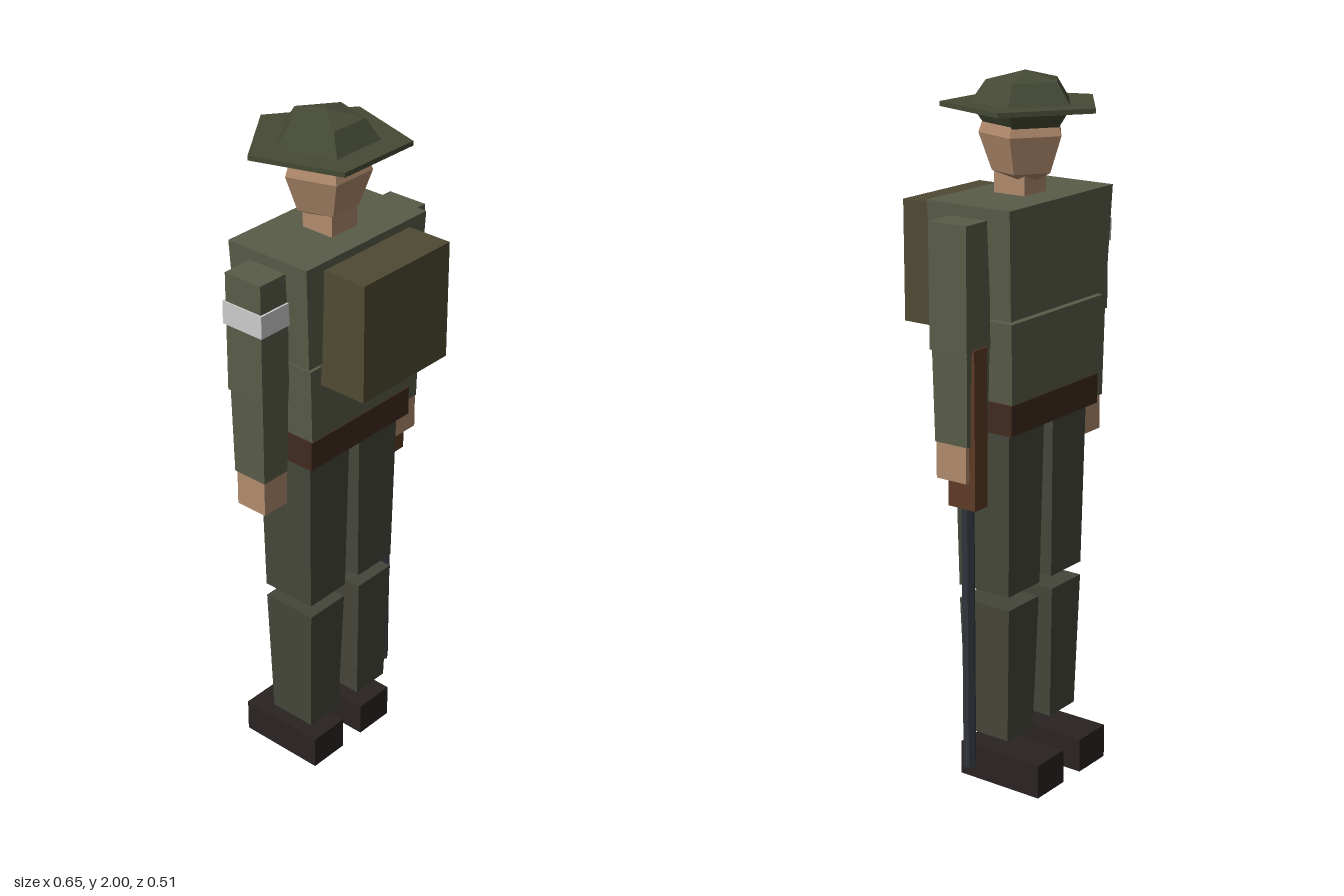
import * as THREE from 'three';

const COLORS = {
  jacket: 0x5a5c48, trousers: 0x45463a, pack: 0x4f4a33, belt: 0x40291f, skin: 0xb08a6c,
  hat: 0x454a35, wood: 0x5c3a24, steel: 0x2f333a, boot: 0x292422, band: 0xbcbcbc,
};
const materials = {};
for (const key in COLORS) {
  materials[key] = new THREE.MeshStandardMaterial({ color: COLORS[key], flatShading: true });
}

// Box between two heights; bottom and top are [x0, x1, z0, z1] rectangles
function block(name, mat, y0, y1, bottom, top = bottom) {
  const geo = new THREE.BoxGeometry(1, 1, 1);
  const p = geo.attributes.position;
  for (let i = 0; i < p.count; i++) {
    const upper = p.getY(i) > 0;
    const r = upper ? top : bottom;
    p.setXYZ(i, p.getX(i) > 0 ? r[1] : r[0], upper ? y1 : y0, p.getZ(i) > 0 ? r[3] : r[2]);
  }
  geo.computeVertexNormals();
  const mesh = new THREE.Mesh(geo, materials[mat]);
  mesh.name = name;
  return mesh;
}

// Five-sided squashed ball with one corner pointing to -z
function ball(name, mat, r, ry, y, z) {
  const geo = new THREE.SphereGeometry(r, 5, 4);
  geo.rotateY(-Math.PI / 2).scale(1, ry / r, 1).translate(0.002, y, z);
  const mesh = new THREE.Mesh(geo, materials[mat]);
  mesh.name = name;
  return mesh;
}

// Swap a rectangle to the other side of x = 0
const flip = ([x0, x1, z0, z1], s) => (s > 0 ? [x0, x1, z0, z1] : [-x1, -x0, z0, z1]);

export function createModel() {
  const model = new THREE.Group();
  model.name = 'soldier';

  for (const s of [1, -1]) {
    const side = s > 0 ? 'left' : 'right';
    const limb = (name, mat, y0, y1, bottom, top = bottom) =>
      model.add(block(side + name, mat, y0, y1, flip(bottom, s), flip(top, s)));

    // Leg
    limb('Boot', 'boot', 0, 0.1, [0.04, 0.165, -0.195, 0.075]);
    limb('Shin', 'trousers', 0.145, 0.545, [0.042, 0.163, -0.088, 0.058], [0.032, 0.172, -0.1, 0.07]);
    limb('Thigh', 'trousers', 0.585, 1.06, [0.028, 0.173, -0.1, 0.07], [0.021, 0.18, -0.108, 0.077]);

    // Arm
    limb('UpperArm', 'jacket', 1.3, 1.642, [0.224, 0.325, -0.079, 0.044]);
    limb('Forearm', 'jacket', 1.047, 1.3, [0.226, 0.316, -0.071, 0.036], [0.222, 0.32, -0.075, 0.04]);
    limb('Hand', 'skin', 0.945, 1.047, [0.226, 0.314, -0.065, 0.034]);
  }

  // Torso
  model.add(
    block('belt', 'belt', 1.06, 1.145, [-0.2, 0.204, -0.133, 0.1]),
    block('waist', 'jacket', 1.145, 1.37, [-0.193, 0.197, -0.13, 0.097], [-0.21, 0.214, -0.141, 0.108]),
    block('chest', 'jacket', 1.38, 1.675, [-0.218, 0.222, -0.145, 0.11], [-0.234, 0.238, -0.153, 0.118]),
    block('backpack', 'pack', 1.315, 1.652, [-0.167, 0.171, 0.1, 0.252]),
    block('armband', 'band', 1.495, 1.56, [-0.33, -0.224, -0.086, 0.05]),
    block('neck', 'skin', 1.675, 1.76, [-0.048, 0.05, -0.063, 0.038]),
  );

  // Head and helmet
  model.add(ball('head', 'skin', 0.121, 0.143, 1.836, -0.026));
  model.add(ball('helmetCrown', 'hat', 0.147, 0.087, 1.913, -0.03));
  const rim = new THREE.Mesh(new THREE.CylinderGeometry(0.225, 0.225, 0.013, 5), materials.hat);
  rim.name = 'helmetBrim';
  rim.rotation.y = Math.PI;
  rim.position.set(0.002, 1.911, -0.029);
  model.add(rim);

  // Rifle carried muzzle down
  model.add(block('rifleStock', 'wood', 0.868, 1.31, [0.245, 0.3, -0.084, 0.006]));
  const barrel = new THREE.Mesh(new THREE.CylinderGeometry(0.019, 0.019, 0.78, 6), materials.steel);
  barrel.name = 'rifleBarrel';
  barrel.position.set(0.272, 0.49, -0.038);
  model.add(barrel);

  return model;
}
